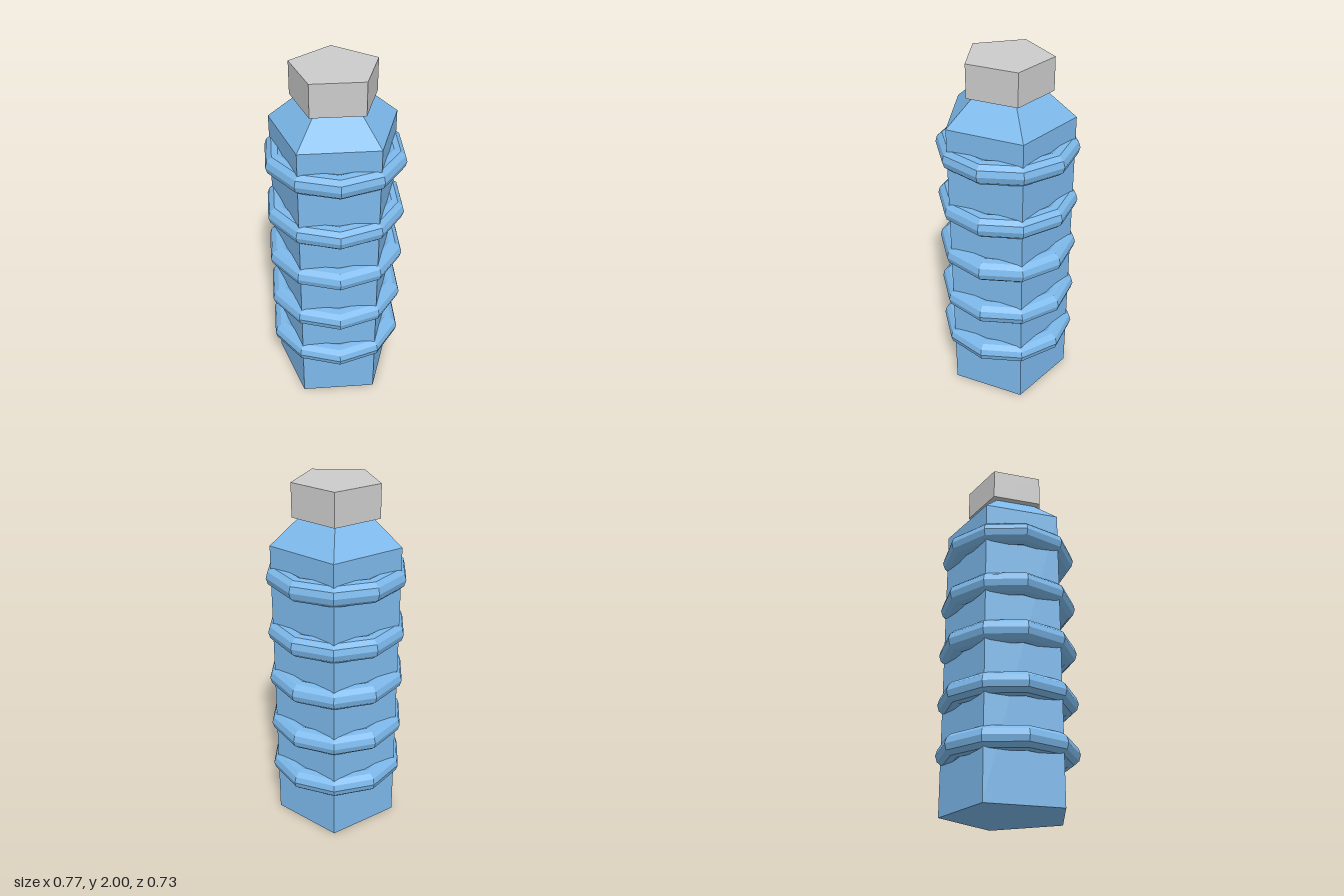
import * as THREE from 'three';

const blue = new THREE.MeshStandardMaterial({ color: 0x7cb8ea, flatShading: true });
const grey = new THREE.MeshStandardMaterial({ color: 0xcccccc, flatShading: true });

// Five-sided prism or frustum with one corner towards +x
function pentagon(name, topRadius, bottomRadius, y0, y1, material) {
  const geometry = new THREE.CylinderGeometry(topRadius, bottomRadius, y1 - y0, 5);
  geometry.rotateY(Math.PI / 2);
  const mesh = new THREE.Mesh(geometry, material);
  mesh.name = name;
  mesh.position.y = (y0 + y1) / 2;
  return mesh;
}

export function createModel() {
  const model = new THREE.Group();
  model.name = 'bottle';

  // Body, sloping shoulder and overhanging cap
  model.add(
    pentagon('body', 0.357, 0.357, 0, 1.68, blue),
    pentagon('shoulder', 0.197, 0.357, 1.68, 1.82, blue),
    pentagon('cap', 0.238, 0.238, 1.82, 2, grey)
  );

  // Ten-sided ribs around the body
  const ribGeometry = new THREE.TorusGeometry(0.3225, 0.0625, 11, 10).rotateX(Math.PI / 2);
  [0.326, 0.61, 0.905, 1.188, 1.505].forEach((y, i) => {
    const rib = new THREE.Mesh(ribGeometry, blue);
    rib.name = `rib${i + 1}`;
    rib.position.y = y;
    model.add(rib);
  });

  return model;
}
